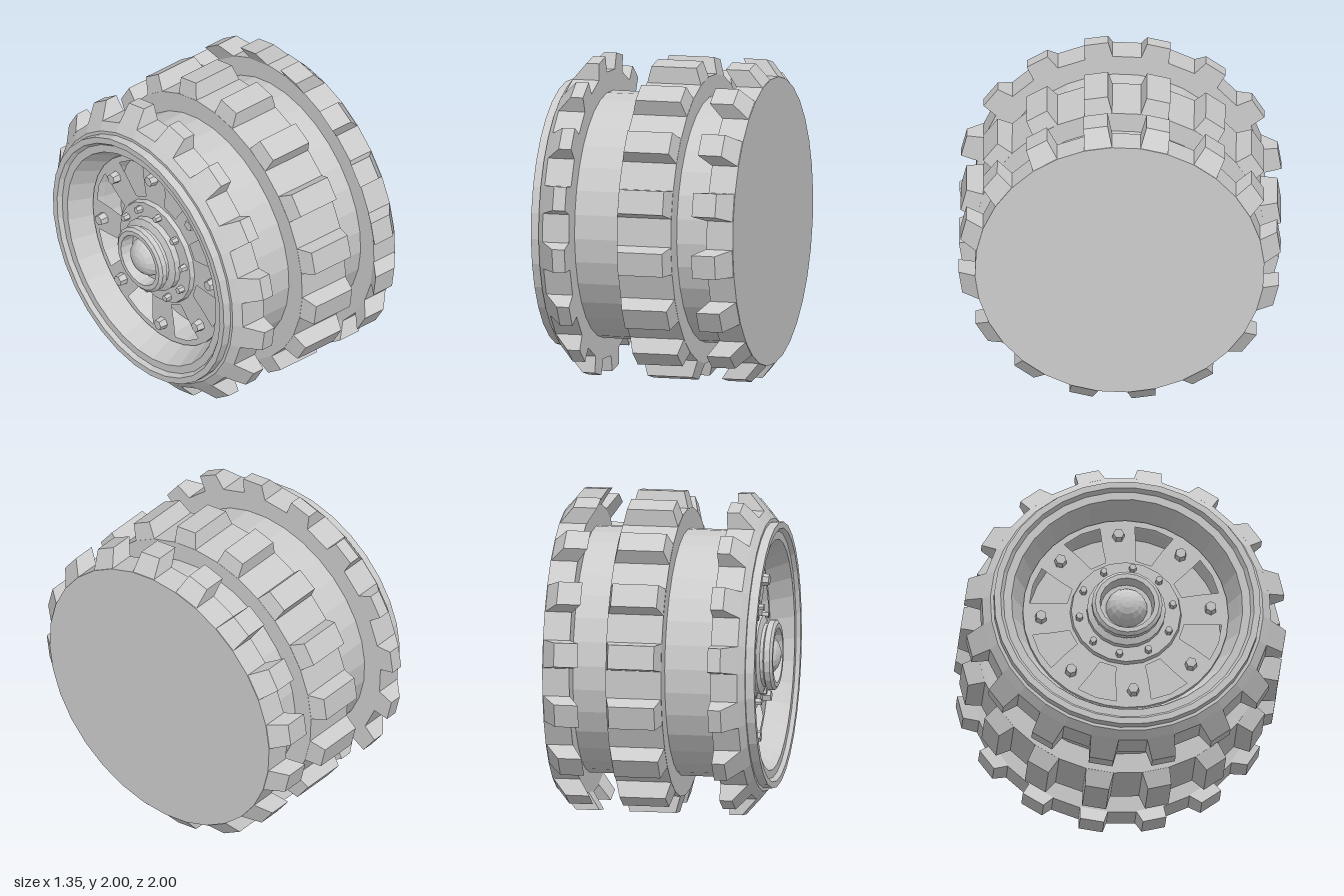
import * as THREE from 'three';

const rad = THREE.MathUtils.degToRad;
const material = new THREE.MeshStandardMaterial({ color: 0xcccccc, flatShading: true });

function add(parent, name, geometry) {
  const mesh = new THREE.Mesh(geometry, material);
  mesh.name = name;
  parent.add(mesh);
  return mesh;
}

// Revolve [radius, x] points around the x axis
function turned(points, segments, startDeg = 0) {
  const profile = points.map(([r, x]) => new THREE.Vector2(r, x));
  return new THREE.LatheGeometry(profile, segments, rad(startDeg)).rotateZ(-Math.PI / 2);
}

// Repeat a geometry (built pointing up +y) around the axle
function ring(parent, name, geometry, count, startDeg) {
  const group = new THREE.Group();
  group.name = name + 's';
  for (let i = 0; i < count; i++) {
    add(group, name, geometry).rotation.x = rad(startDeg + (i * 360) / count);
  }
  parent.add(group);
}

// Tapered tread block: x span at the base and at the top
function lugGeometry(base, top) {
  const g = new THREE.BoxGeometry(1, 1, 1);
  const p = g.attributes.position;
  for (let i = 0; i < p.count; i++) {
    const isTop = p.getY(i) > 0;
    const span = isTop ? top : base;
    p.setXYZ(i, span[p.getX(i) > 0 ? 1 : 0], isTop ? 1 : 0.89,
      Math.sign(p.getZ(i)) * (isTop ? 0.075 : 0.088));
  }
  return g;
}

// Hexagonal nut standing on the wheel plate at a given radius
function nutGeometry(size, height, radius, x) {
  return new THREE.CylinderGeometry(size * 0.85, size, height, 6)
    .rotateZ(Math.PI / 2).translate(x - height / 2, radius, 0);
}

// Wheel plate with trapezoid windows between the spokes
function plateGeometry() {
  const at = (r, deg) => new THREE.Vector2(r * Math.sin(rad(deg)), r * Math.cos(rad(deg)));
  const shape = new THREE.Shape(Array.from({ length: 32 }, (_, i) => at(0.64, i * 11.25)));
  for (let i = 0; i < 8; i++) {
    const a = i * 45 + 17.5;
    shape.holes.push(new THREE.Path([
      at(0.37, a - 8), at(0.48, a - 10), at(0.6, a - 12), at(0.605, a),
      at(0.6, a + 12), at(0.48, a + 10), at(0.37, a + 8),
    ]));
  }
  return new THREE.ExtrudeGeometry(shape, { depth: 0.05, bevelEnabled: false })
    .rotateY(-Math.PI / 2).translate(-0.44, 0, 0);
}

export function createModel() {
  const model = new THREE.Group();
  model.name = 'wheel';
  const wheel = new THREE.Group();
  wheel.name = 'wheelAssembly';
  wheel.position.y = 1;
  model.add(wheel);

  // Tyre with two grooves, stepped rim lip, recessed barrel and flat closed back
  add(wheel, 'tyreAndRim', turned([
    [0, -0.3], [0.6, -0.3], [0.62, -0.42], [0.7, -0.59], [0.72, -0.63], [0.77, -0.63],
    [0.79, -0.655], [0.83, -0.655], [0.83, -0.6], [0.85, -0.6], [0.9, -0.56],
    [0.9, -0.39], [0.77, -0.39], [0.77, -0.08], [0.9, -0.08],
    [0.9, 0.27], [0.77, 0.27], [0.77, 0.5], [0.9, 0.5], [0.9, 0.67], [0, 0.67],
  ], 32, 3));

  // Three rows of tread blocks
  ring(wheel, 'outerLug', lugGeometry([-0.565, -0.39], [-0.47, -0.39]), 16, 8.6);
  ring(wheel, 'middleLug', lugGeometry([-0.08, 0.27], [-0.05, 0.24]), 16, 8.6);
  ring(wheel, 'innerLug', lugGeometry([0.5, 0.67], [0.43, 0.58]), 16, 8.6);

  // Spoked plate and its nuts
  add(wheel, 'spokePlate', plateGeometry());
  ring(wheel, 'wheelNut', nutGeometry(0.04, 0.06, 0.53, -0.48), 8, -5);
  ring(wheel, 'hubNut', nutGeometry(0.025, 0.05, 0.295, -0.51), 10, 8);

  // Stepped hub with a hollow end and a dome inside
  add(wheel, 'hub', turned([
    [0, -0.57], [0.16, -0.57], [0.17, -0.655], [0.2, -0.655], [0.22, -0.64], [0.22, -0.605],
    [0.2, -0.595], [0.2, -0.575], [0.245, -0.56], [0.245, -0.52], [0.34, -0.52], [0.35, -0.48],
  ], 20));
  const dome = new THREE.SphereGeometry(0.13, 14, 5, 0, Math.PI * 2, 0, Math.PI / 2)
    .rotateZ(Math.PI / 2).scale(0.81, 1, 1).translate(-0.57, 0, 0);
  add(wheel, 'hubDome', dome);

  return model;
}
